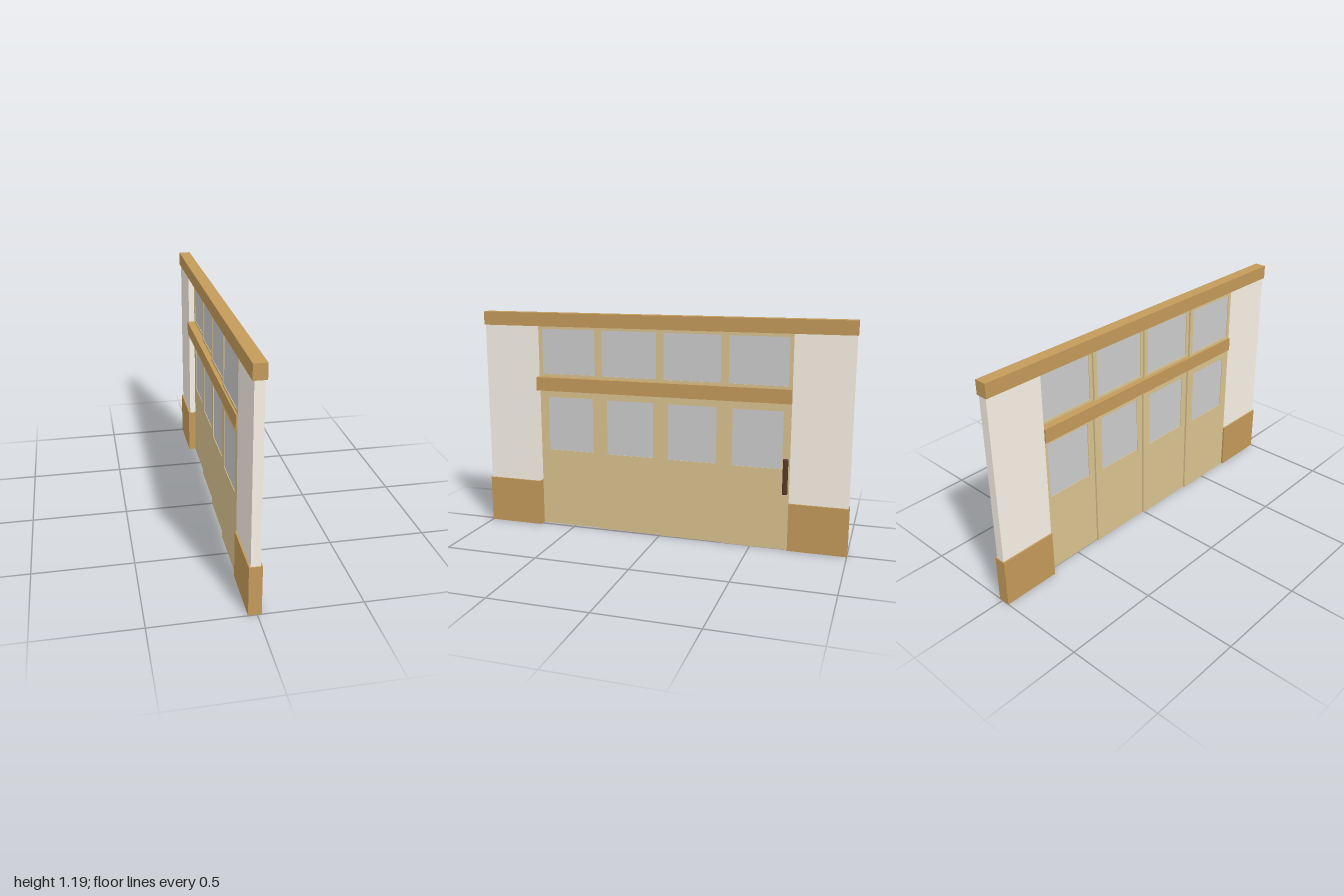
import * as THREE from 'three';
import { RoundedBoxGeometry } from 'three/addons/geometries/RoundedBoxGeometry.js';

const material = (color) => new THREE.MeshStandardMaterial({ color });

export function createModel() {
  const group = new THREE.Group();
  const timber = material(0xc49a5a);
  const doorWood = material(0xd9c28e);
  const plaster = material(0xf8f1e6);
  const glass = material(0xcccccc);
  const darkWood = material(0x553b25);

  const add = (name, geometry, mat, x, y, z) => {
    const mesh = new THREE.Mesh(geometry, mat);
    mesh.name = name;
    mesh.position.set(x, y, z);
    group.add(mesh);
  };

  // Box given by its lower and upper limits on each axis
  const box = (name, mat, [x0, x1], [y0, y1], [z0, z1]) =>
    add(name, new THREE.BoxGeometry(x1 - x0, y1 - y0, z1 - z0), mat,
      (x0 + x1) / 2, (y0 + y1) / 2, (z0 + z1) / 2);

  // Beams, end walls and their plinths
  const beamX = [-0.0425, 0.02];
  const wallX = [-0.034, 0.0115];
  box('topBeam', timber, beamX, [1.12, 1.192], [-1, 1]);
  box('middleBeam', timber, beamX, [0.77, 0.843], [-0.697, 0.697]);
  for (const [side, z] of [['front', [0.697, 1]], ['back', [-1, -0.697]]]) {
    box(side + 'Plinth', timber, beamX, [0, 0.253], z);
    box(side + 'Wall', plaster, wallX, [0.253, 1.12],
      z[0] > 0 ? [z[0], 0.996] : [-0.996, z[1]]);
  }

  // Panel with a window opening, plus its pane; drawn in (z, y) and turned to face +x
  const thickness = 0.0105;
  const windowPanel = (name, x, z, [y0, y1], halfWidth, [w0, w1], halfWindow) => {
    const rect = (Type, h, a, b) => new Type([
      new THREE.Vector2(-h, a), new THREE.Vector2(h, a),
      new THREE.Vector2(h, b), new THREE.Vector2(-h, b),
    ]);
    const shape = rect(THREE.Shape, halfWidth, y0, y1);
    shape.holes.push(rect(THREE.Path, halfWindow, w0, w1));
    const geometry = new THREE.ExtrudeGeometry(shape, { depth: thickness, bevelEnabled: false });
    geometry.translate(0, 0, -thickness / 2).rotateY(Math.PI / 2);
    add(name, geometry, doorWood, x, 0, z);
    box(name + 'Glass', glass, [x - 0.002, x + 0.002], [w0, w1],
      [z - halfWindow, z + halfWindow]);
  };

  // Four sliding doors and transom windows, each on its own track
  for (let i = 0; i < 4; i++) {
    const x = -0.0283 + i * thickness;
    windowPanel('slidingDoor' + (i + 1), x, 0.517 - i * 0.3475,
      [0, 0.78], 0.178, [0.43, 0.73], 0.131);
    windowPanel('transomWindow' + (i + 1), x, 0.523 - i * 0.349,
      [0.835, 1.125], 0.1755, [0.858, 1.103], 0.153);
  }

  // Pull handle on the outermost door
  add('handleBar', new RoundedBoxGeometry(0.0185, 0.186, 0.026, 2, 0.005), darkWood,
    0.0333, 0.398, -0.678);
  for (const y of [0.325, 0.469]) {
    box('handleBracket', darkWood, [0.006, 0.028], [y - 0.006, y + 0.006], [-0.684, -0.672]);
  }

  return group;
}
